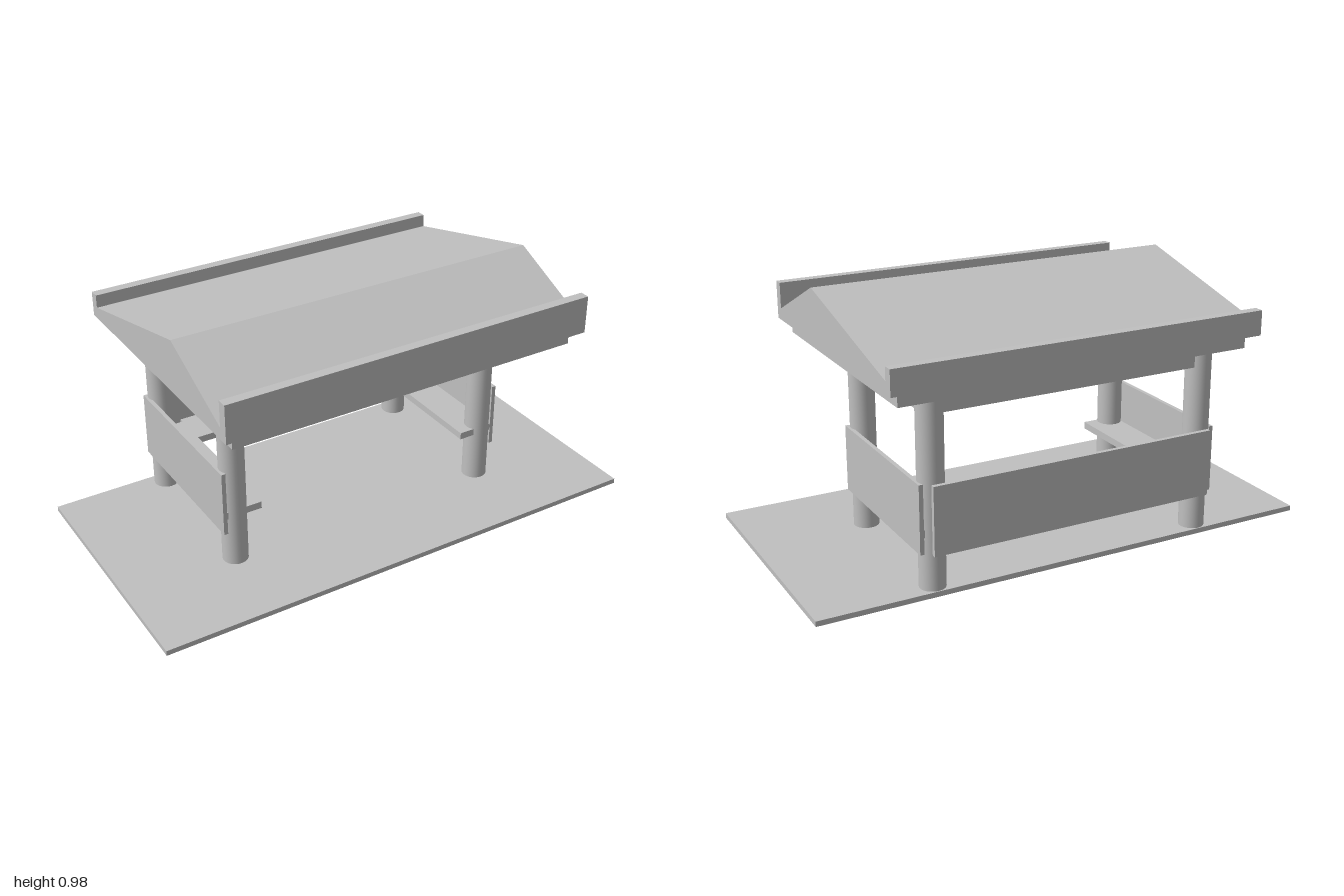
import * as THREE from 'three';

export function createModel() {
  const group = new THREE.Group();
  const grey = new THREE.MeshStandardMaterial({ color: 0xc0c0c0 });
  grey.name = 'plain grey';

  const add = (name, geometry) => {
    const mesh = new THREE.Mesh(geometry, grey);
    mesh.name = name;
    group.add(mesh);
    return mesh;
  };
  // Box given by its extents along each axis
  const box = (name, [x0, x1], [y0, y1], [z0, z1]) =>
    add(name, new THREE.BoxGeometry(x1 - x0, y1 - y0, z1 - z0))
      .position.set((x0 + x1) / 2, (y0 + y1) / 2, (z0 + z1) / 2);

  const midX = -0.003, postX = 0.55, frontZ = 0.168, backZ = -0.43;
  const sides = [['left', 1], ['right', -1]];
  const span = (centre, half) => [centre - half, centre + half];
  const across = span(midX, postX);
  const beamY = [0.665, 0.722], seatY = [0.222, 0.25], panelY = [0.16, 0.42];

  // Ground slab
  box('groundSlab', [-1, 1], [0, 0.02], [-0.483, 0.515]);

  // Four round posts
  for (const [side, s] of sides) {
    for (const [end, z] of [['Front', frontZ], ['Back', backZ]]) {
      add(`${side}${end}Post`, new THREE.CylinderGeometry(0.049, 0.049, 0.705, 32))
        .position.set(midX + s * postX, 0.3725, z);
    }
  }

  // Ceiling beams joining the posts, with one in the middle
  box('frontBeam', across, beamY, span(frontZ, 0.03));
  box('backBeam', across, beamY, span(backZ, 0.03));
  for (const [name, s] of [...sides, ['middle', 0]]) {
    box(`${name}Beam`, span(midX + s * postX, 0.03), beamY, [backZ, frontZ]);
  }

  // Side wall panels and seats
  for (const [side, s] of sides) {
    box(`${side}Panel`, span(midX + s * 0.6, 0.008), panelY, [-0.46, 0.202]);
    box(`${side}Seat`, span(midX + s * 0.521, 0.071), seatY, [-0.46, 0.2]);
  }
  // Back wall panel and seat
  box('backPanel', span(midX, 0.57), panelY, [-0.496, -0.479]);
  box('backSeat', span(midX, 0.45), seatY, [-0.479, -0.32]);

  // Eave slab beneath the roof
  box('eaveSlab', [-0.71, 0.69], [0.722, 0.775], [-0.498, 0.5]);

  // Uneven gable roof with raised edges, as one profile in z and y
  const profile = [
    [0.54, 0.775], [0.54, 0.921], [0.502, 0.921], [0.502, 0.821], [0.158, 0.98],
    [-0.5, 0.821], [-0.5, 0.871], [-0.538, 0.871], [-0.538, 0.775],
  ].map(([z, y]) => new THREE.Vector2(z, y));
  add('roof', new THREE.ExtrudeGeometry(new THREE.Shape(profile), { depth: 1.48, bevelEnabled: false })
    .rotateY(-Math.PI / 2).translate(0.73, 0, 0));

  return group;
}
